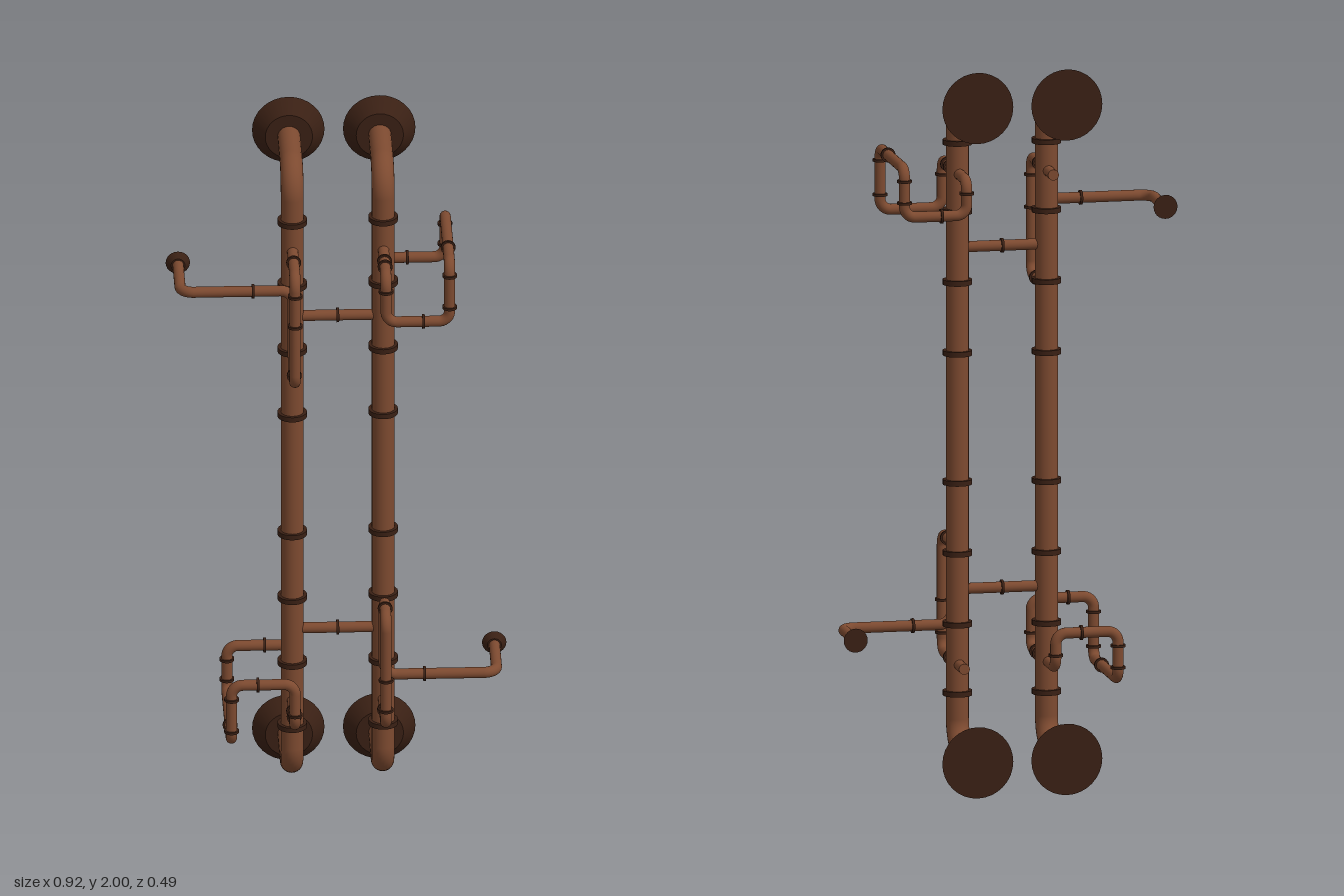
import * as THREE from 'three';
import { mergeGeometries } from 'three/addons/utils/BufferGeometryUtils.js';

const V = (x, y, z) => new THREE.Vector3(x, y, z);
const UP = V(0, 1, 0);
const copper = new THREE.MeshStandardMaterial({ color: 0x7d4a30 });
const dark = new THREE.MeshStandardMaterial({ color: 0x3a2014 });

// Cylinder or cone running from point a (radius ra) to point b (radius rb)
function rod(a, b, ra, rb = ra, sides = 20) {
  const d = b.clone().sub(a);
  const g = new THREE.CylinderGeometry(rb, ra, d.length(), sides);
  g.applyQuaternion(new THREE.Quaternion().setFromUnitVectors(UP, d.normalize()));
  const m = a.clone().add(b).multiplyScalar(0.5);
  return g.translate(m.x, m.y, m.z);
}

// Pipe through corner points: straight runs joined by round elbows
function pipe(points, radius, bend, sides = 20) {
  const parts = [];
  let start = points[0];
  for (let i = 1; i < points.length; i++) {
    const p = points[i];
    if (i === points.length - 1) {
      parts.push(rod(start, p, radius, radius, sides));
      break;
    }
    const before = points[i - 1].clone().sub(p).setLength(bend).add(p);
    const after = points[i + 1].clone().sub(p).setLength(bend).add(p);
    const elbow = new THREE.CubicBezierCurve3(
      before, before.clone().lerp(p, 0.552), after.clone().lerp(p, 0.552), after);
    parts.push(rod(start, before, radius, radius, sides));
    parts.push(new THREE.TubeGeometry(elbow, 10, radius, sides));
    start = after;
  }
  return mergeGeometries(parts);
}

// Dark clamp rings: each entry is a centre followed by the pipe direction
function rings(list, radius, width) {
  return mergeGeometries(list.map(([c, dir]) => {
    const h = dir.clone().multiplyScalar(width / 2);
    return rod(c.clone().sub(h), c.clone().add(h), radius, radius, 24);
  }));
}

function add(group, name, geometry, material) {
  const mesh = new THREE.Mesh(geometry, material);
  mesh.name = name;
  group.add(mesh);
}

// One riser with its branches; the other half is the same turned upside down
function createHalf() {
  const g = new THREE.Group();
  const X = V(1, 0, 0), Y = UP, Z = V(0, 0, 1);
  const px = -0.123, pz = 0.022, r = 0.015;
  const low = 0.105, high = 1.905;

  // Main riser, bent back to the wall at both ends
  add(g, 'mainPipe', pipe([V(px, low, -0.2), V(px, low, pz), V(px, high, pz), V(px, high, -0.2)], 0.031, 0.075, 24), copper);
  const heights = [0.245, 0.435, 0.63, 0.825, 1.18, 1.375, 1.57, 1.76];
  add(g, 'mainPipeRings', rings(heights.map(y => [V(px, y, pz), Y]), 0.04, 0.014), dark);
  for (const y of [low, high]) {
    add(g, 'wallFlange', rod(V(px, y, -0.245), V(px, y, -0.2), 0.098, 0.064, 32), dark);
  }

  // Cross pipe linking the two risers
  add(g, 'crossPipe', pipe([V(px, 1.475, pz), V(-px, 1.475, pz)], r, 0), copper);
  add(g, 'crossPipeRing', rings([[V(0, 1.475, pz), X]], 0.02, 0.007), dark);

  // Side branch: out of the riser, down and up again, then off to the wall
  const ex = -0.428, ey = 1.585, fz = 0.22, bz = 0.092;
  add(g, 'sideBranch', pipe([
    V(px, 1.68, -0.07), V(px, 1.68, fz), V(px, 1.358, fz), V(px, 1.358, bz),
    V(px, ey, bz), V(ex, ey, bz), V(ex, ey, -0.08)], r, 0.035), copper);
  add(g, 'sideBranchRings', rings([
    [V(px, 1.68, 0.115), Z], [V(px, 1.63, fz), Y], [V(px, 1.54, fz), Y],
    [V(px, 1.358, 0.152), Z], [V(-0.232, ey, bz), X]], 0.02, 0.007), dark);
  add(g, 'sideBranchFlange', rod(V(ex, ey, -0.092), V(ex, ey, -0.075), 0.033, 0.019, 24), dark);

  // Looped branch on the opposite riser, passing through it front to back
  const lx = -px, ox = 0.295, back = -0.1;
  add(g, 'loopBranch', pipe([
    V(lx, 1.68, 0), V(lx, 1.68, back), V(lx, ey, back), V(ox, ey, back),
    V(ox, 1.718, back), V(ox, 1.718, fz), V(ox, 1.548, fz), V(lx, 1.548, fz),
    V(lx, 1.68, fz), V(lx, 1.68, 0)], r, 0.03), copper);
  add(g, 'loopBranchRings', rings([
    [V(lx, 1.645, back), Y], [V(0.193, ey, back), X], [V(ox, 1.685, back), Y],
    [V(ox, 1.625, back), Y], [V(ox, 1.718, 0.115), Z], [V(ox, 1.685, fz), Y],
    [V(ox, 1.59, fz), Y], [V(0.224, 1.548, fz), X], [V(lx, 1.64, fz), Y],
    [V(lx, 1.68, 0.115), Z], [V(lx, 1.68, 0.15), Z]], 0.02, 0.007), dark);
  return g;
}

export function createModel() {
  const model = new THREE.Group();
  model.name = 'pipework';
  const first = createHalf();
  first.name = 'rightRiser';
  const second = createHalf();
  second.name = 'leftRiser';
  // Half turn about the front-to-back axis at mid height
  second.rotation.z = Math.PI;
  second.position.y = 2.01;
  first.position.y = second.position.y = 0;
  first.position.y = -0.005;
  second.position.y = 2.005;
  model.add(first, second);
  return model;
}
